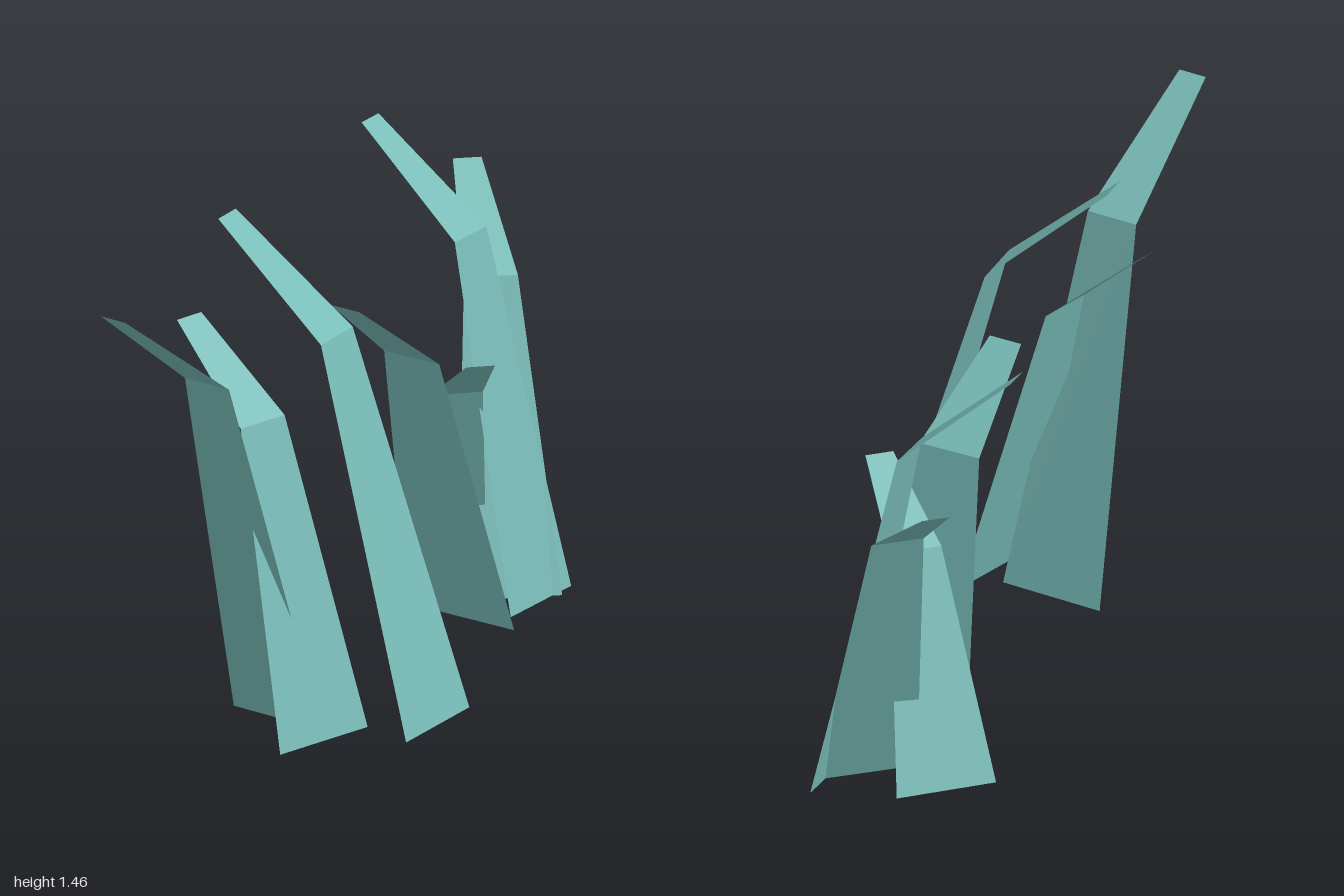
import * as THREE from 'three';

const teal = new THREE.MeshStandardMaterial({ color: 0x78bcb8, side: THREE.DoubleSide, flatShading: true });
teal.name = 'teal';

// One folded grass blade: three cross-sections (base, fold, tip), each [y, x1, z1, x2, z2]
function blade(name, sections) {
  const points = [];
  const index = [];
  sections.forEach(([y, x1, z1, x2, z2], i) => {
    points.push(x1, y, z1, x2, y, z2);
    if (i > 0) {
      const a = (i - 1) * 2;
      index.push(a, a + 1, a + 3, a, a + 3, a + 2);
    }
  });
  const indexed = new THREE.BufferGeometry();
  indexed.setAttribute('position', new THREE.Float32BufferAttribute(points, 3));
  indexed.setIndex(index);
  const geometry = indexed.toNonIndexed(); // keeps the fold sharp
  geometry.computeVertexNormals();
  const mesh = new THREE.Mesh(geometry, teal);
  mesh.name = name;
  return mesh;
}

export function createModel() {
  const model = new THREE.Group();
  model.name = 'grassBlades';

  // Front tuft
  const frontTuft = new THREE.Group();
  frontTuft.name = 'frontTuft';
  frontTuft.add(
    blade('tallFrontBlade', [
      [0, 0.04, 0.877, 0.305, 0.612],
      [1.143, -0.135, 0.575, 0, 0.435],
      [1.458, -0.365, 0.28, -0.29, 0.202],
    ]),
    blade('middleFrontBlade', [
      [0, -0.345, 0.888, -0.03, 0.708],
      [0.925, -0.393, 0.628, -0.235, 0.538],
      [1.18, -0.508, 0.345, -0.42, 0.293],
    ]),
    blade('outerFrontBlade', [
      [0, -0.167, 0.7, -0.355, 0.415],
      [1.107, -0.475, 0.797, -0.57, 0.657],
      [1.41, -0.845, 0.993, -0.897, 0.917],
    ]),
  );

  // Back tuft
  const backTuft = new THREE.Group();
  backTuft.name = 'backTuft';
  backTuft.add(
    blade('tallBackBlade', [
      [0, 0.642, -0.155, 0.89, -0.388],
      [1.09, 0.537, -0.388, 0.665, -0.507],
      [1.39, 0.33, -0.662, 0.4, -0.73],
    ]),
    blade('rearBlade', [
      [0, 0.53, -0.335, 0.842, -0.312],
      [0.892, 0.633, -0.635, 0.793, -0.622],
      [1.137, 0.7, -1, 0.785, -0.993],
    ]),
    blade('innerBackBlade', [
      [0, 0.62, -0.037, 0.387, -0.36],
      [0.86, 0.377, 0.02, 0.255, -0.143],
      [1.092, 0.095, 0.165, 0.032, 0.077],
    ]),
    blade('shortBackBlade', [
      [0, 0.36, -0.528, 0.67, -0.518],
      [0.665, 0.427, -0.27, 0.588, -0.265],
      [0.845, 0.457, 0.027, 0.543, 0.032],
    ]),
  );

  model.add(frontTuft, backTuft);
  return model;
}
